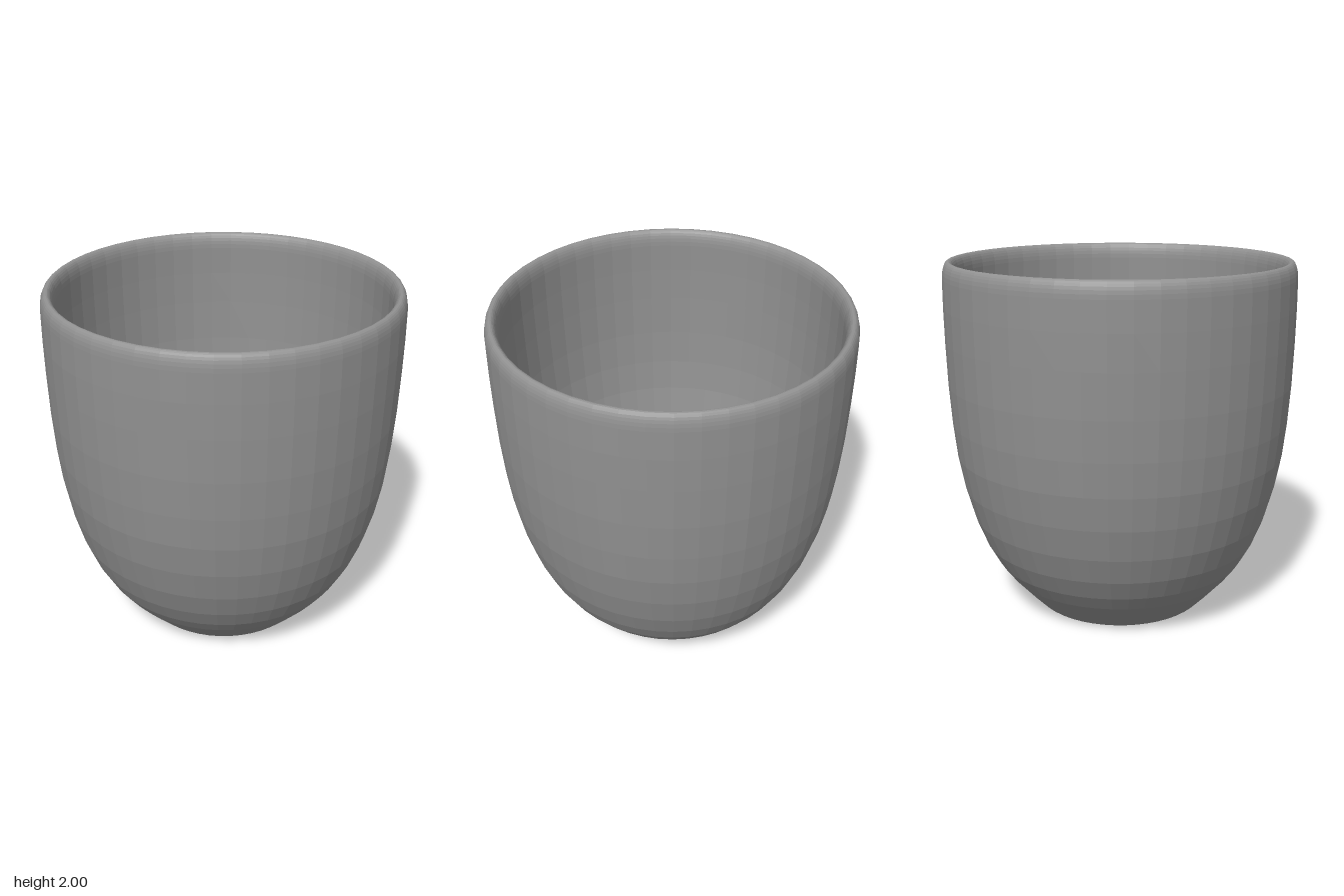
import * as THREE from 'three';

const SIDES = 48;

export function createModel() {
  const group = new THREE.Group();
  group.name = 'cup';
  const material = new THREE.MeshStandardMaterial({ color: 0x919191, flatShading: true });

  const points = (list) => list.map(([r, y]) => new THREE.Vector2(r, y));

  // Outer wall, from the centre of the flat foot up to the rim
  const outer = points([
    [0, 0], [0.482, 0], [0.493, 0.008], [0.573, 0.09], [0.655, 0.18], [0.723, 0.27], [0.79, 0.39],
    [0.85, 0.54], [0.9, 0.72], [0.936, 0.91], [0.957, 1.1], [0.972, 1.32],
    [0.98, 1.56], [0.983, 1.75], [0.982, 1.91],
  ]);

  // Rounded lip, from the outer wall over to the inner wall
  const lip = new THREE.CubicBezierCurve(
    new THREE.Vector2(0.982, 1.91), new THREE.Vector2(0.98, 2.03),
    new THREE.Vector2(0.912, 2.03), new THREE.Vector2(0.91, 1.91),
  ).getPoints(14);

  // Inner wall, from the lip down to the rounded bowl and flat floor
  const inner = points([
    [0.91, 1.91], [0.911, 1.75], [0.908, 1.56], [0.9, 1.32], [0.886, 1.11], [0.864, 0.92],
    [0.829, 0.735], [0.78, 0.565], [0.722, 0.425], [0.655, 0.32], [0.595, 0.245],
    [0.525, 0.175], [0.46, 0.13], [0.41, 0.11], [0.35, 0.1], [0, 0.095],
  ]);

  for (const [name, profile] of [['outerWall', outer], ['lip', lip], ['innerWall', inner]]) {
    const mesh = new THREE.Mesh(new THREE.LatheGeometry(profile, SIDES), material);
    mesh.name = name;
    group.add(mesh);
  }
  return group;
}
